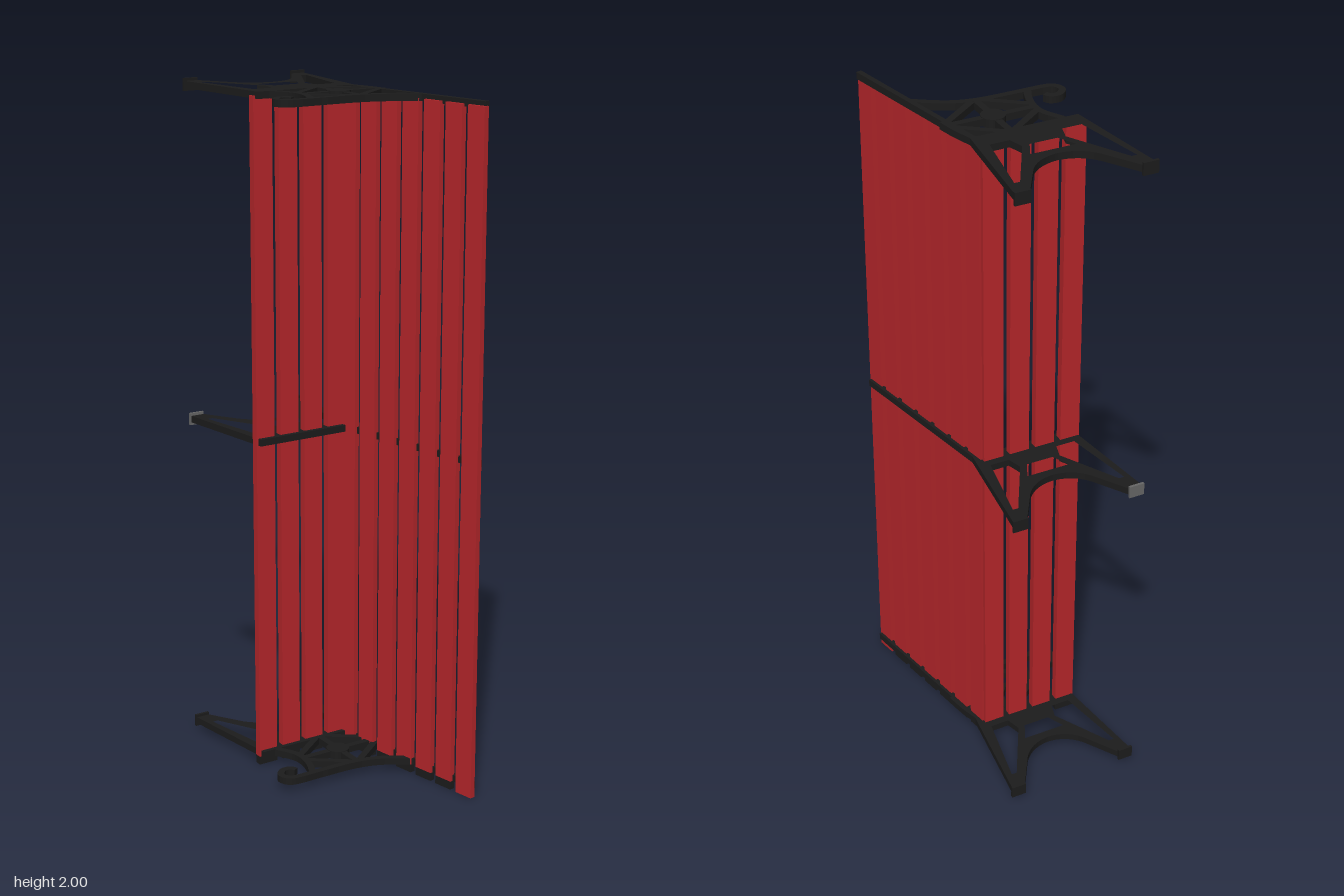
import * as THREE from 'three';

const IRON = new THREE.MeshStandardMaterial({ color: 0x1c1c1c });
const RED = new THREE.MeshStandardMaterial({ color: 0xb5262a });
const GREY = new THREE.MeshStandardMaterial({ color: 0x666666 });
const T = 0.02; // thickness of the iron frames

// [x, z] pairs to shape points; the shape is laid flat after extrusion
const pts = (list) => list.map(([x, z]) => new THREE.Vector2(x, -z));

function plate(name, shape, thickness = T) {
  const geo = new THREE.ExtrudeGeometry(shape, { depth: thickness, bevelEnabled: false, curveSegments: 12 });
  geo.translate(0, 0, -thickness / 2).rotateX(-Math.PI / 2);
  const mesh = new THREE.Mesh(geo, IRON);
  mesh.name = name;
  return mesh;
}

// flat iron bar of constant width following a line or smooth curve
function bar(name, list, width) {
  const p = pts(list);
  const curve = p.length === 2 ? new THREE.LineCurve(p[0], p[1]) : new THREE.SplineCurve(p);
  const n = p.length === 2 ? 1 : p.length * 5;
  const a = [], b = [];
  for (let i = 0; i <= n; i++) {
    const c = curve.getPoint(i / n), t = curve.getTangent(i / n);
    a.push(new THREE.Vector2(c.x - t.y * width / 2, c.y + t.x * width / 2));
    b.unshift(new THREE.Vector2(c.x + t.y * width / 2, c.y - t.x * width / 2));
  }
  return plate(name, new THREE.Shape([...a, ...b]));
}

function box(name, w, h, d, x, y, z, mat) {
  const mesh = new THREE.Mesh(new THREE.BoxGeometry(w, h, d), mat);
  mesh.position.set(x, y, z);
  mesh.name = name;
  return mesh;
}

// legs with an arch between them, pierced by three openings
function legFrame() {
  const shape = new THREE.Shape();
  shape.moveTo(-0.863, 0.088);
  shape.lineTo(-0.907, 0.42);
  shape.lineTo(-0.868, 0.42);
  shape.lineTo(-0.805, 0.317);
  shape.quadraticCurveTo(-0.77, 0.268, -0.71, 0.265);
  shape.quadraticCurveTo(-0.65, 0.268, -0.614, 0.317);
  shape.lineTo(-0.551, 0.42);
  shape.lineTo(-0.512, 0.42);
  shape.lineTo(-0.551, 0.088);
  const mid = -0.71;
  const side = [[-0.882, -0.362], [-0.866, -0.362], [-0.772, -0.19], [-0.785, -0.146], [-0.842, -0.146]];
  shape.holes.push(
    new THREE.Path(pts(side)),
    new THREE.Path(pts(side.map(([x, z]) => [2 * mid - x, z]))),
    new THREE.Path(pts([[-0.775, -0.24], [-0.645, -0.24], [-0.67, -0.188], [-0.75, -0.188]])),
  );
  return plate('legFrame', shape);
}

// armrest with scroll and spoked panel
function armrest() {
  const g = new THREE.Group();
  g.name = 'armrest';
  g.add(
    bar('armRail', [[-0.845, 0.062], [-0.855, 0.046], [-0.88, 0.046], [-0.9, 0.07], [-0.89, 0.097],
      [-0.86, 0.105], [-0.78, 0.105], [-0.67, 0.108], [-0.59, 0.13], [-0.51, 0.18]], 0.02),
    bar('frontPost', [[-0.818, -0.09], [-0.789, -0.035], [-0.784, 0.01], [-0.795, 0.06], [-0.815, 0.105]], 0.02),
    bar('rearPost', [[-0.56, -0.09], [-0.542, -0.03], [-0.53, 0.03]], 0.018),
    bar('spoke', [[-0.785, 0.005], [-0.53, 0.005]], 0.02),
    bar('spoke', [[-0.663, -0.09], [-0.663, 0.107]], 0.02),
  );
  for (const s of [-1, 1]) {
    for (const e of [-1, 1]) {
      g.add(bar('diagonal', [[-0.663 + s * 0.122, 0.005 + e * 0.018], [-0.663 + s * 0.015, 0.005 + e * 0.098]], 0.02));
    }
  }
  const hub = new THREE.Mesh(new THREE.CylinderGeometry(0.034, 0.034, T * 1.2, 20), IRON);
  hub.position.set(-0.663, 0, 0.005);
  hub.name = 'hub';
  g.add(hub);
  return g;
}

function frame(y, withArm) {
  const g = new THREE.Group();
  g.name = withArm ? 'endFrame' : 'middleFrame';
  g.add(legFrame());
  g.add(bar('backRail', [[-0.56, -0.09], [-0.462, 0.412]], 0.016));
  g.add(box('frontFoot', 0.045, 0.036, 0.008, -0.888, 0, -0.42, withArm ? IRON : GREY));
  g.add(box('rearFoot', 0.045, 0.036, 0.008, -0.531, 0, -0.42, IRON));
  if (withArm) g.add(armrest());
  g.position.y = y;
  return g;
}

// long board, with a dark end below the lowest frame
function slat(name, w, d, x, z, angle, darkEnd) {
  const g = new THREE.Group();
  g.name = name;
  const y0 = darkEnd ? 0.025 : 0;
  g.add(box('board', w, 1.98 - y0, d, 0, (1.98 + y0) / 2, 0, RED));
  if (darkEnd) g.add(box('boardEnd', w, y0, d, 0, y0 / 2, 0, IRON));
  g.position.set(x, 0, z);
  g.rotation.y = angle;
  return g;
}

export function createModel() {
  const model = new THREE.Group();
  model.name = 'bench';
  model.add(frame(0.034, true), frame(1.0, false), frame(1.982, true));

  // seat boards
  for (let i = 0; i < 4; i++) {
    model.add(slat('seatSlat', 0.06, 0.022, -0.84 + i * 0.08, -0.112, 0, true));
  }
  // backrest boards along the sloping rail
  const slope = 0.098 / 0.502;
  for (let i = 0; i < 7; i++) {
    const z = 0.39 - i * 0.0785;
    model.add(slat('backSlat', 0.016, 0.06, -0.471 + (z - 0.412) * slope, z, Math.atan(slope), i > 0));
  }
  return model;
}
